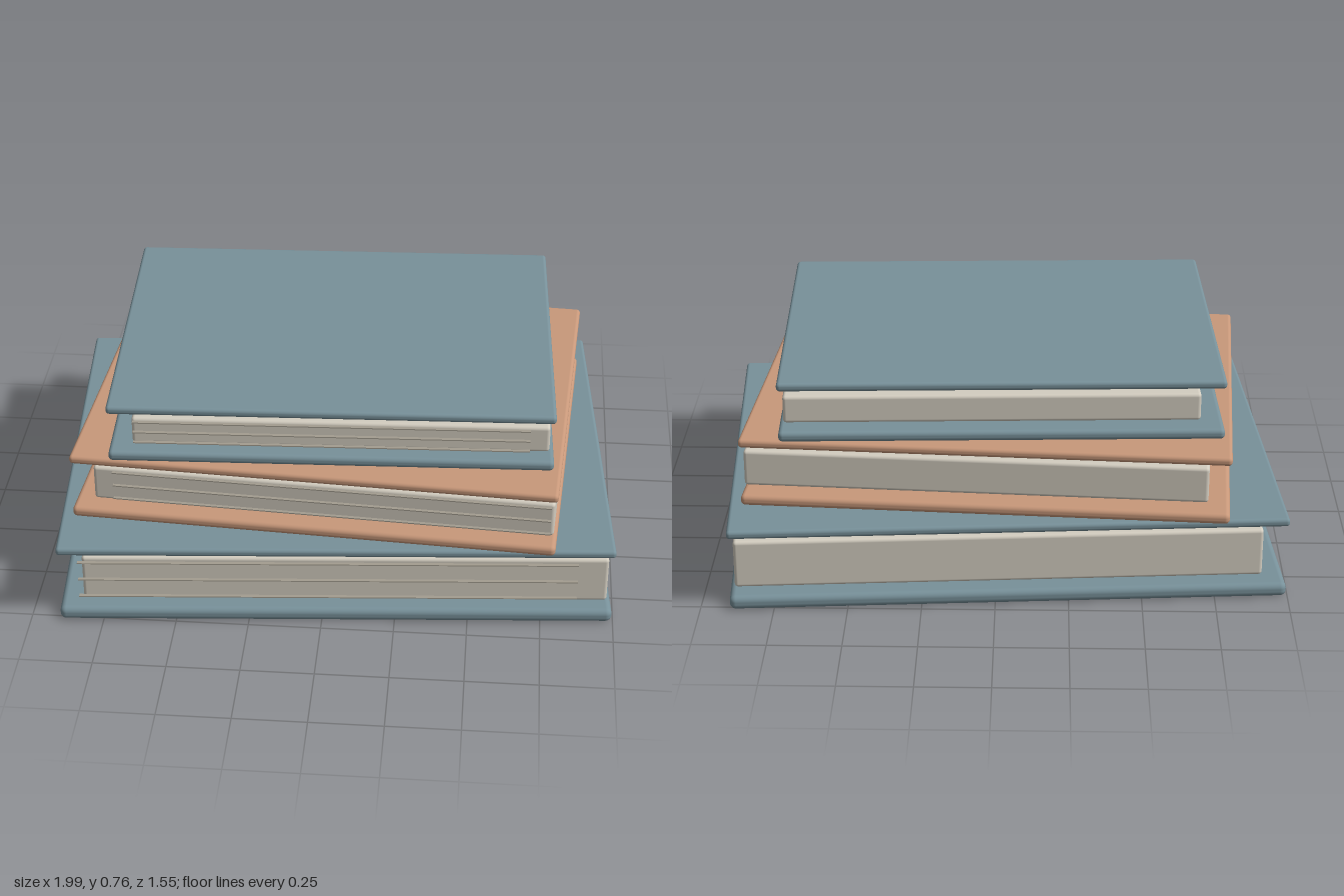
import * as THREE from 'three';
import { RoundedBoxGeometry } from 'three/addons/geometries/RoundedBoxGeometry.js';

const mat = (name, color) => {
  const m = new THREE.MeshStandardMaterial({ color });
  m.name = name;
  return m;
};

export function createModel() {
  const teal = mat('teal cover', 0x78919a);
  const tan = mat('tan cover', 0xc8987a);
  const paper = mat('paper', 0xd3cdc0);
  const line = mat('page line', 0xa39d90);

  // Sizes are [width, depth]; heights are [bottom, top]
  const books = [
    { name: 'bottomBook', cover: teal, turn: 0.069, size: [1.9, 1.423], block: [1.8, 1.354],
      lower: [0, 0.05], pages: [0.07, 0.243], upper: [0.27, 0.3] },
    { name: 'middleBook', cover: tan, turn: -0.067, size: [1.664, 1.27], block: [1.58, 1.2],
      lower: [0.298, 0.337], pages: [0.36, 0.49], upper: [0.516, 0.547] },
    { name: 'topBook', cover: teal, turn: 0.035, size: [1.505, 1.142], block: [1.407, 1.08],
      lower: [0.547, 0.584], pages: [0.605, 0.703], upper: [0.733, 0.763] },
  ];

  const model = new THREE.Group();
  model.name = 'bookStack';

  for (const b of books) {
    const book = new THREE.Group();
    book.name = b.name;

    // Rounded slab between two heights
    const slab = (name, [w, d], [y0, y1], radius, material, x = 0) => {
      const h = y1 - y0;
      const mesh = new THREE.Mesh(new RoundedBoxGeometry(w, h, d, 4, radius), material);
      mesh.name = name;
      mesh.position.set(x * Math.cos(b.turn), (y0 + y1) / 2, -x * Math.sin(b.turn));
      mesh.rotation.y = b.turn;
      book.add(mesh);
    };
    slab('lowerCover', b.size, b.lower, (b.lower[1] - b.lower[0]) * 0.42, b.cover);
    slab('pageBlock', b.block, b.pages, 0.012, paper, 0.032);
    slab('upperCover', b.size, b.upper, (b.upper[1] - b.upper[0]) * 0.42, b.cover);

    // Thin page lines along the front edge
    const [w, d] = b.block;
    const mid = (b.pages[0] + b.pages[1]) / 2;
    const step = (b.pages[1] - b.pages[0]) * 0.4;
    for (const i of [-1, 0, 1]) {
      const mesh = new THREE.Mesh(new THREE.BoxGeometry(w * 0.95, 0.004, 0.012), line);
      mesh.name = 'pageLine';
      mesh.position.set(0.02, mid + i * step, d / 2 + 0.008);
      mesh.rotation.y = b.turn;
      book.add(mesh);
    }
    model.add(book);
  }
  return model;
}
